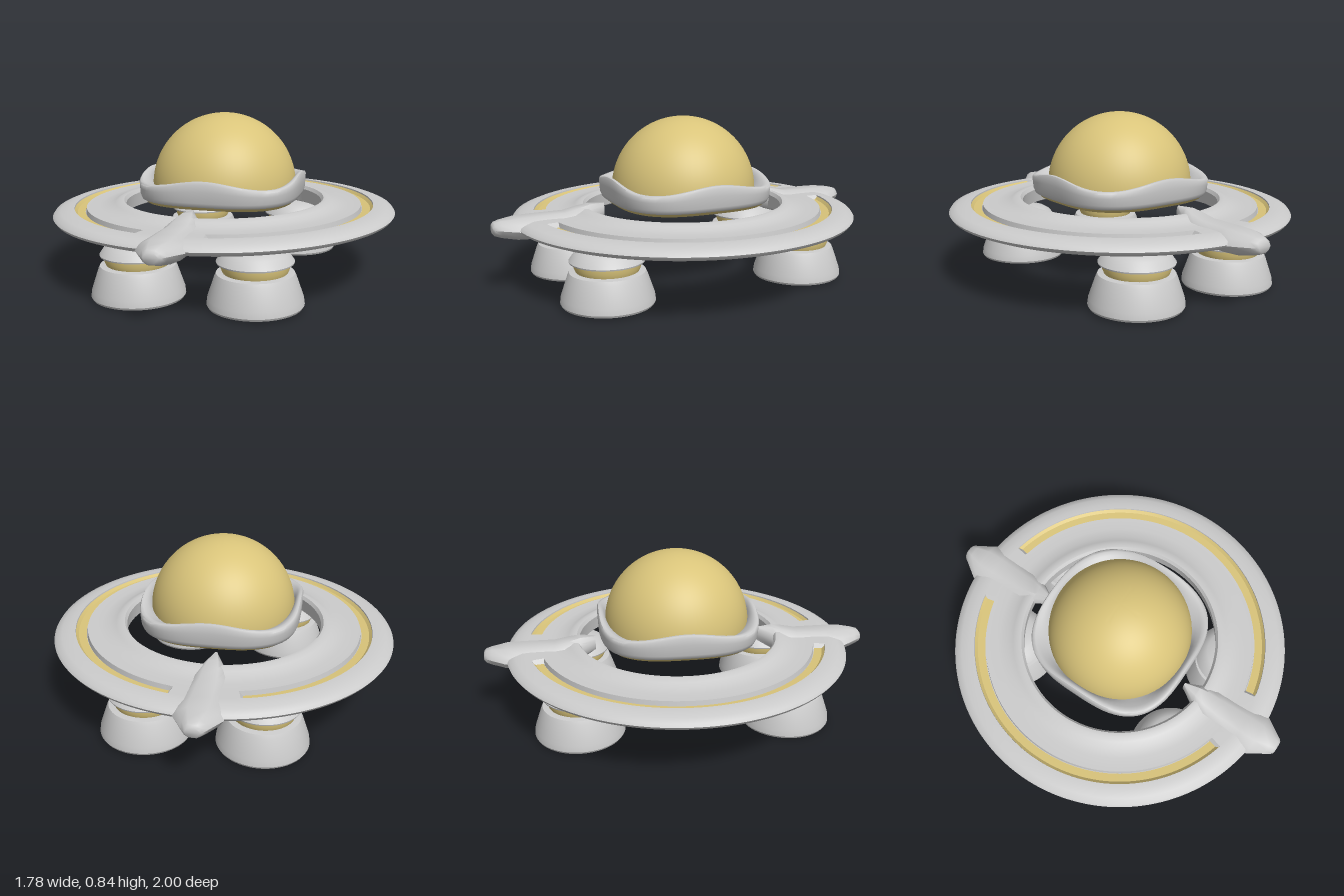
import * as THREE from 'three';
import { toCreasedNormals } from 'three/addons/utils/BufferGeometryUtils.js';

const grey = new THREE.MeshStandardMaterial({ color: 0xcccccc, side: THREE.DoubleSide });
const gold = new THREE.MeshStandardMaterial({ color: 0xd9c47a, side: THREE.DoubleSide });

function part(name, geometry, material, crease = 0.6) {
  const mesh = new THREE.Mesh(toCreasedNormals(geometry, crease), material);
  mesh.name = name;
  return mesh;
}

// Skins a series of closed loops, each an array of [x, y, z]
function skin(loops, cap = false) {
  const n = loops[0].length;
  const index = [];
  for (let i = 0; i < loops.length - 1; i++) {
    for (let j = 0; j < n; j++) {
      const a = i * n + j, b = i * n + (j + 1) % n;
      index.push(a, b, b + n, a, b + n, a + n);
    }
  }
  if (cap) {
    const last = (loops.length - 1) * n;
    for (let j = 1; j < n - 1; j++) {
      index.push(0, j + 1, j, last, last + j, last + j + 1);
    }
  }
  const g = new THREE.BufferGeometry();
  g.setAttribute('position', new THREE.Float32BufferAttribute(loops.flat(2), 3));
  g.setIndex(index);
  return g;
}

// Rounded-square loop: exponent 2 is a circle, larger is squarer
function squircle([r, y, exponent, wave = 0]) {
  const loop = [];
  for (let j = 0; j < 96; j++) {
    const t = (j / 96) * Math.PI * 2;
    const c = Math.cos(t), s = Math.sin(t);
    const k = r / (Math.abs(c) ** exponent + Math.abs(s) ** exponent) ** (1 / exponent);
    loop.push([c * k, y + wave * Math.cos(4 * t), -s * k]);
  }
  return loop;
}

const lathe = (pts, segments = 64, start = 0, length = Math.PI * 2) =>
  new THREE.LatheGeometry(pts.map(p => new THREE.Vector2(...p)), segments, start, length);

// Groove arcs as [start, end] angles around the ring
const ARCS = [[0.16, Math.PI - 0.16], [Math.PI + 0.27, 2 * Math.PI - 0.27]];

function createRing() {
  const ring = new THREE.Group();
  ring.name = 'ring';
  const floor = 0.35, top = 0.376;
  const body = lathe([
    [0.52, 0.312], [0.56, 0.296], [0.68, 0.293], [0.78, 0.3], [0.85, 0.314], [0.88, 0.326],
    [0.89, 0.341], [0.88, 0.355], [0.85, 0.367], [0.81, 0.375], [0.78, top],
    [0.776, floor], [0.722, floor], [0.718, top],
    [0.65, 0.374], [0.6, 0.38], [0.57, 0.392], [0.545, 0.403], [0.525, 0.402], [0.513, 0.385], [0.52, 0.312],
  ], 240);
  // Fill the groove back up outside the arcs
  const p = body.attributes.position;
  for (let i = 0; i < p.count; i++) {
    const a = (Math.atan2(p.getX(i), p.getZ(i)) + Math.PI * 2) % (Math.PI * 2);
    const inArc = ARCS.some(([s, e]) => a > s && a < e);
    if (Math.abs(p.getY(i) - floor) < 1e-5 && !inArc) p.setY(i, top);
  }
  ring.add(part('ringBody', body, grey, 0.7));
  for (const [s, e] of ARCS) {
    ring.add(part('ringLightStrip',
      lathe([[0.78, 0.37], [0.765, 0.356], [0.725, 0.354]], 96, s, e - s), gold));
  }

  // Fins crossing the ring: [z, half width, top, bottom]
  const stations = [
    [0.43, 0.012, 0.418, 0.345], [0.51, 0.06, 0.42, 0.3], [0.56, 0.085, 0.41, 0.285],
    [0.64, 0.1, 0.392, 0.28], [0.8, 0.115, 0.39, 0.28], [0.885, 0.115, 0.388, 0.285],
    [0.96, 0.066, 0.38, 0.298], [0.99, 0.047, 0.373, 0.308], [1.0, 0.035, 0.362, 0.318],
  ];
  const loops = stations.map(([z, w, t, b]) => {
    const m = (t + b) / 2, q = (t - b) * 0.3;
    return [[w, m, z], [w * 0.8, m + q, z], [w * 0.4, t, z], [-w * 0.4, t, z], [-w * 0.8, m + q, z],
      [-w, m, z], [-w * 0.8, m - q, z], [-w * 0.4, b, z], [w * 0.4, b, z], [w * 0.8, m - q, z]];
  });
  for (const turn of [0, Math.PI]) {
    const fin = part(turn ? 'backFin' : 'frontFin', skin(loops, true), grey, 0.8);
    fin.rotation.y = turn;
    fin.position.x = -0.035;
    ring.add(fin);
  }
  ring.rotation.z = 0.012;
  return ring;
}

function createPod() {
  const pod = new THREE.Group();
  // Skirt with a recessed underside
  pod.add(part('podSkirt', lathe([
    [0, 0.045], [0.172, 0.045], [0.178, 0.004], [0.222, 0.004], [0.228, 0.015], [0.224, 0.045],
    [0.19, 0.145], [0.182, 0.162], [0.15, 0.166],
  ]), grey));
  pod.add(part('podNeck', lathe([[0.15, 0.16], [0.16, 0.185], [0.16, 0.215]]), gold));
  pod.add(part('podCap', lathe([
    [0.15, 0.208], [0.18, 0.21], [0.182, 0.217], [0.155, 0.255], [0.125, 0.273], [0.07, 0.282], [0, 0.284],
  ]), grey));
  return pod;
}

export function createModel() {
  const model = new THREE.Group();
  model.name = 'saucer';

  // Glass dome
  const dome = part('dome', new THREE.SphereGeometry(0.375, 64, 32, 0, Math.PI * 2, 0, 1.7), gold);
  dome.position.y = 0.47;
  model.add(dome);

  // Wavy collar: squarish outside, round where it meets the dome
  const collar = [
    [0.385, 0.418, 3], [0.402, 0.424, 3], [0.41, 0.445, 3], [0.413, 0.49, 3, 0.01],
    [0.414, 0.518, 3, 0.018], [0.408, 0.529, 3, 0.02], [0.398, 0.531, 2.9, 0.02],
    [0.387, 0.524, 2.7, 0.02], [0.376, 0.505, 2.3, 0.018], [0.365, 0.47, 2],
  ];
  model.add(part('collar', skin(collar.map(squircle)), grey, 0.9));

  // Band and belly below the collar
  model.add(part('bellyBand', skin([[0.345, 0.398, 3], [0.38, 0.406, 3], [0.395, 0.422, 3]].map(squircle)), gold));
  model.add(part('belly', skin([[0.001, 0.385, 3], [0.2, 0.388, 3], [0.345, 0.398, 3]].map(squircle)), grey));

  model.add(createRing());

  // Four landing pods
  for (const x of [-1, 1]) {
    for (const z of [-1, 1]) {
      const pod = createPod();
      pod.name = (z > 0 ? 'front' : 'back') + (x > 0 ? 'Left' : 'Right') + 'Pod';
      pod.position.set(x > 0 ? 0.295 : -0.283, x > 0 ? 0.006 : 0, z * 0.53);
      pod.rotation.z = 0.012;
      model.add(pod);
    }
  }
  return model;
}
